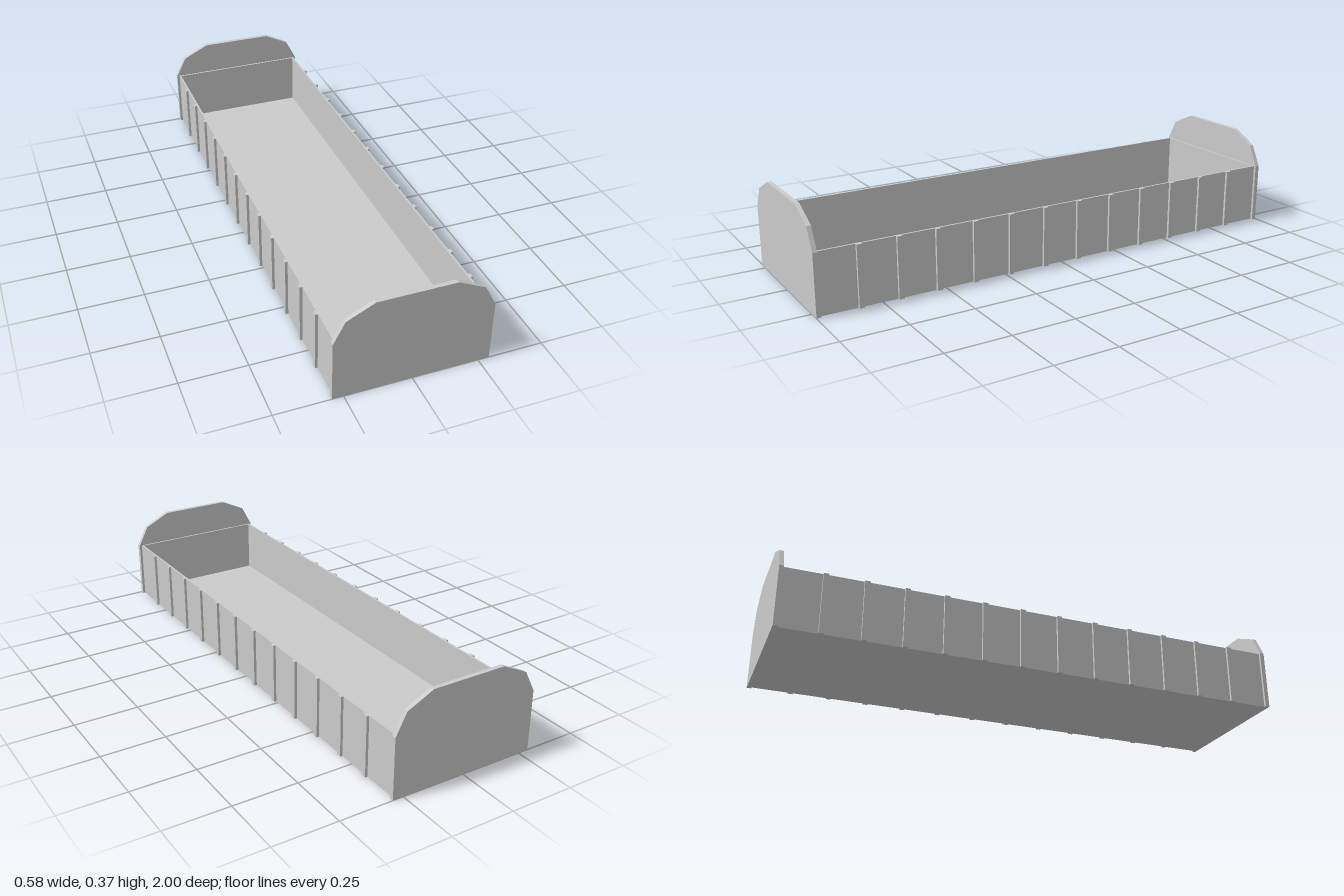
import * as THREE from 'three';

export function createModel() {
  const model = new THREE.Group();
  const material = new THREE.MeshStandardMaterial({ color: 0xcccccc, flatShading: true });

  const addBox = (name, w, h, d, x, y, z) => {
    const mesh = new THREE.Mesh(new THREE.BoxGeometry(w, h, d), material);
    mesh.name = name;
    mesh.position.set(x, y, z);
    model.add(mesh);
  };

  const wallHeight = 0.237, halfWidth = 0.282, wall = 0.007;
  const plate = 0.017, floorHeight = 0.02, innerLength = 2 - 2 * plate;

  // Floor of the open tray
  addBox('floor', 2 * (halfWidth - wall), floorHeight, innerLength, 0, floorHeight / 2, 0);

  // Long side walls with evenly spaced outer ribs
  for (const side of [-1, 1]) {
    addBox('sideWall', wall, wallHeight, innerLength, side * (halfWidth - wall / 2), wallHeight / 2, 0);
    for (let i = 0; i < 12; i++) {
      addBox('sideRib', 0.01, wallHeight, 0.02, side * (halfWidth + 0.005), wallHeight / 2, (i - 5.5) * 0.1513);
    }
  }

  // Tall end plates with faceted tops, each backed by a low inner wall
  const outline = new THREE.Shape([
    [-0.292, 0], [0.292, 0], [0.292, wallHeight], [0.249, 0.32],
    [0.146, 0.37], [-0.146, 0.37], [-0.249, 0.32], [-0.292, wallHeight],
  ].map(([x, y]) => new THREE.Vector2(x, y)));
  const plateGeometry = new THREE.ExtrudeGeometry(outline, { depth: plate, bevelEnabled: false });

  for (const end of [-1, 1]) {
    const endPlate = new THREE.Mesh(plateGeometry, material);
    endPlate.name = end > 0 ? 'frontPlate' : 'backPlate';
    endPlate.position.z = end > 0 ? 1 - plate : -1;
    model.add(endPlate);
    addBox('endWall', 2 * (halfWidth - wall), wallHeight - floorHeight, wall,
      0, (wallHeight + floorHeight) / 2, end * (1 - plate - wall / 2));
  }

  return model;
}
